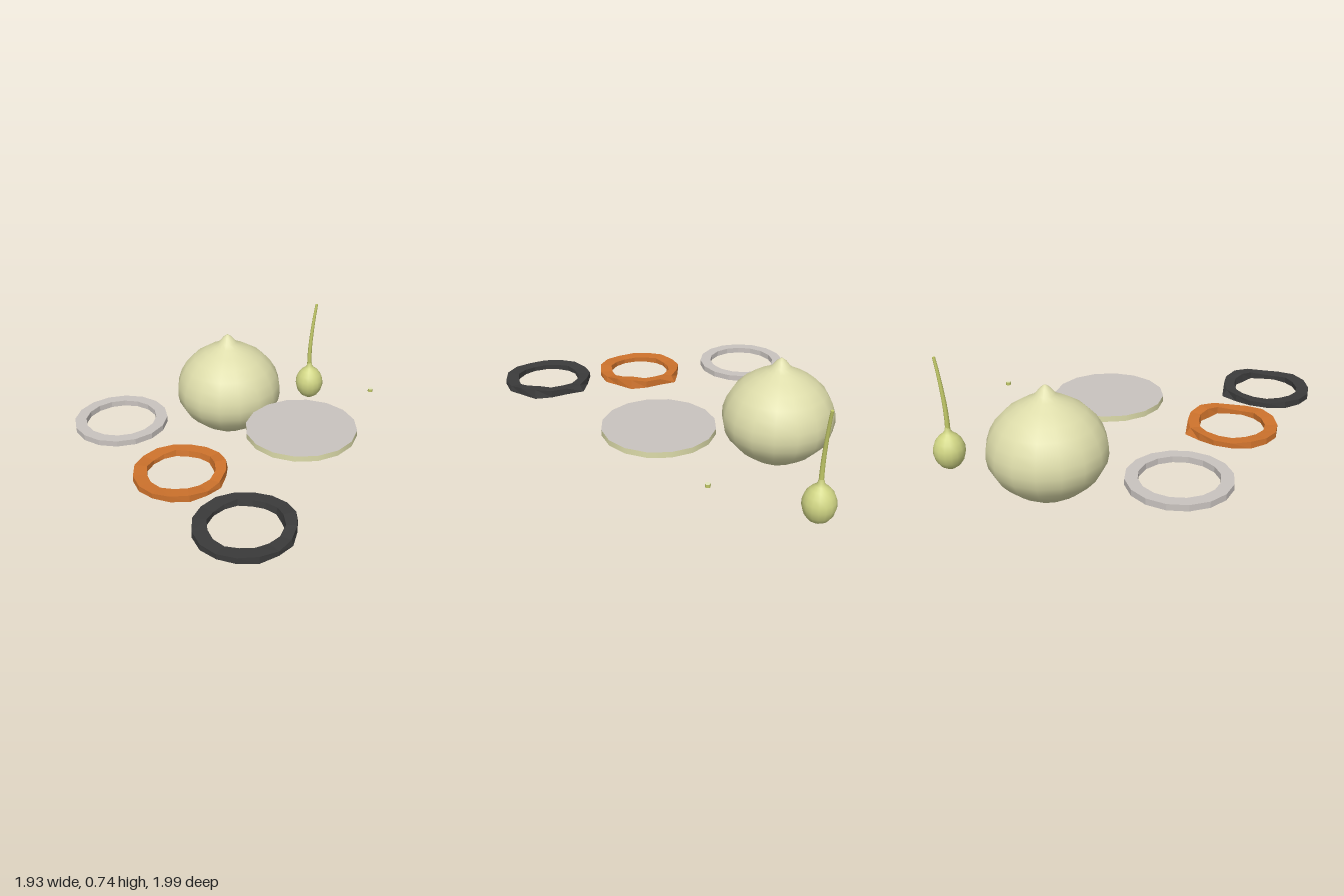
import * as THREE from 'three';

const SIDES = 16;
const mat = (name, color) => new THREE.MeshStandardMaterial({ name, color });

function add(group, name, geometry, material, x, y, z) {
  const mesh = new THREE.Mesh(geometry, material);
  mesh.name = name;
  mesh.position.set(x, y, z);
  group.add(mesh);
  return mesh;
}

const lathe = (points, sides) =>
  new THREE.LatheGeometry(points.map(([r, y]) => new THREE.Vector2(r, y)), sides);

// Flat-faced ring: section(i) gives [radius, y] corners, outer bottom first, then up and inwards
function ringGeometry(section, offset = 0) {
  const corner = (i, k) => {
    const a = ((i + offset) / SIDES) * Math.PI * 2;
    const [r, y] = section(i % SIDES)[k % 4];
    return [r * Math.cos(a), y, r * Math.sin(a)];
  };
  const positions = [];
  for (let i = 0; i < SIDES; i++) {
    for (let k = 0; k < 4; k++) {
      const a = corner(i, k), b = corner(i, k + 1), c = corner(i + 1, k + 1), d = corner(i + 1, k);
      positions.push(...a, ...b, ...c, ...a, ...c, ...d);
    }
  }
  const geometry = new THREE.BufferGeometry();
  geometry.setAttribute('position', new THREE.Float32BufferAttribute(positions, 3));
  geometry.computeVertexNormals();
  return geometry;
}

// Shrivelled ring: radii and heights wander around the loop
const OUTER = [0.27, 0.28, 0.268, 0.28, 0.281, 0.288, 0.286, 0.283, 0.288, 0.289, 0.29, 0.286, 0.284, 0.274, 0.3, 0.265];
const INNER = [0.204, 0.2, 0.208, 0.203, 0.198, 0.208, 0.204, 0.207, 0.207, 0.204, 0.21, 0.204, 0.205, 0.212, 0.203, 0.198];
const TOP = [0.385, 0.395, 0.388, 0.372, 0.37, 0.378, 0.375, 0.368, 0.37, 0.372, 0.376, 0.37, 0.374, 0.38, 0.375, 0.382];
const BOTTOM = [0.34, 0.335, 0.342, 0.337, 0.342, 0.336, 0.338, 0.336, 0.335, 0.337, 0.335, 0.34, 0.343, 0.337, 0.335, 0.341];

const wavyRing = (scale) => ringGeometry((i) => [
  [OUTER[i] * scale, BOTTOM[i]],
  [Math.min(OUTER[i], 0.278 + 0.008 * Math.sign(Math.abs(i - 8) < 5 ? 1 : -1)) * scale, TOP[i]],
  [INNER[i] * scale, TOP[i] - 0.004],
  [(INNER[i] - (i > 11 || i < 2 ? 0.008 : 0)) * scale, BOTTOM[i]],
]);

export function createModel() {
  const skin = mat('onion skin', 0xdddcaa);
  const flesh = mat('onion flesh', 0xc9c3bf);
  const fried = mat('fried orange', 0xcd722c);
  const burnt = mat('burnt charcoal', 0x3b3b3b);
  const green = mat('spring onion green', 0xd0d584);
  const stalk = mat('stalk green', 0xc3ca68);
  const cut = mat('spring onion cut', 0xe4e6c0);
  const model = new THREE.Group();
  model.name = 'onionSet';

  // Whole onion
  add(model, 'onion', lathe([
    [0, 0.008], [0.06, 0.018], [0.135, 0.052], [0.2, 0.093], [0.26, 0.14], [0.31, 0.195],
    [0.342, 0.255], [0.353, 0.315], [0.349, 0.375], [0.328, 0.44], [0.29, 0.505],
    [0.23, 0.565], [0.155, 0.613], [0.09, 0.646], [0.058, 0.67], [0.03, 0.705], [0.008, 0.722], [0, 0.723],
  ], SIDES), skin, 0.143, 0, -0.643);

  // Onion slice with skin around its rim
  const slice = new THREE.CylinderGeometry(0.348, 0.348, 0.036, SIDES);
  add(model, 'onionSlice', slice, [skin, flesh, flesh], 0.163, 0.352, 0.122);

  // Raw, fried and burnt rings
  const raw = ringGeometry(() => [[0.29, 0.334], [0.29, 0.37], [0.22, 0.37], [0.22, 0.334]], 0.5);
  add(model, 'rawRing', raw, flesh, -0.678, 0, -0.65);
  add(model, 'friedRing', wavyRing(0.965), fried, -0.685, 0, 0.083);
  add(model, 'burntRing', wavyRing(1), burnt, -0.68, 0, 0.713);

  // Spring onion: bulb and bending stalk
  add(model, 'springOnionBulb', lathe([
    [0, 0.022], [0.03, 0.028], [0.063, 0.051], [0.088, 0.088], [0.1, 0.133], [0.098, 0.172],
    [0.083, 0.212], [0.058, 0.243], [0.032, 0.262], [0.02, 0.28], [0.016, 0.305],
  ], SIDES), green, 0.864, 0, -0.645);

  const path = new THREE.CatmullRomCurve3([[0.862, 0.28], [0.862, 0.35], [0.867, 0.44], [0.882, 0.56], [0.9, 0.67], [0.916, 0.748]]
    .map(([x, y]) => new THREE.Vector3(x, y, -0.645)));
  const steps = 12, around = 8;
  const tube = new THREE.TubeGeometry(path, steps, 0.016, around);
  const pos = tube.attributes.position, p = new THREE.Vector3();
  for (let i = 0; i < pos.count; i++) {
    // Taper towards the tip
    const t = Math.floor(i / (around + 1)) / steps;
    const centre = path.getPointAt(t);
    p.fromBufferAttribute(pos, i).sub(centre).multiplyScalar(1 - 0.42 * t).add(centre);
    pos.setXYZ(i, p.x, p.y, p.z);
  }
  add(model, 'springOnionStalk', tube, stalk, 0, 0, 0);
  const tip = add(model, 'stalkTip', new THREE.CircleGeometry(0.0093, around), stalk, 0.916, 0.748, -0.645);
  tip.quaternion.setFromUnitVectors(new THREE.Vector3(0, 0, 1), path.getTangentAt(1));

  // Small slice of stalk
  add(model, 'stalkSlice', new THREE.CylinderGeometry(0.016, 0.016, 0.02, around), [stalk, cut, cut], 0.864, 0.351, 0);

  return model;
}
